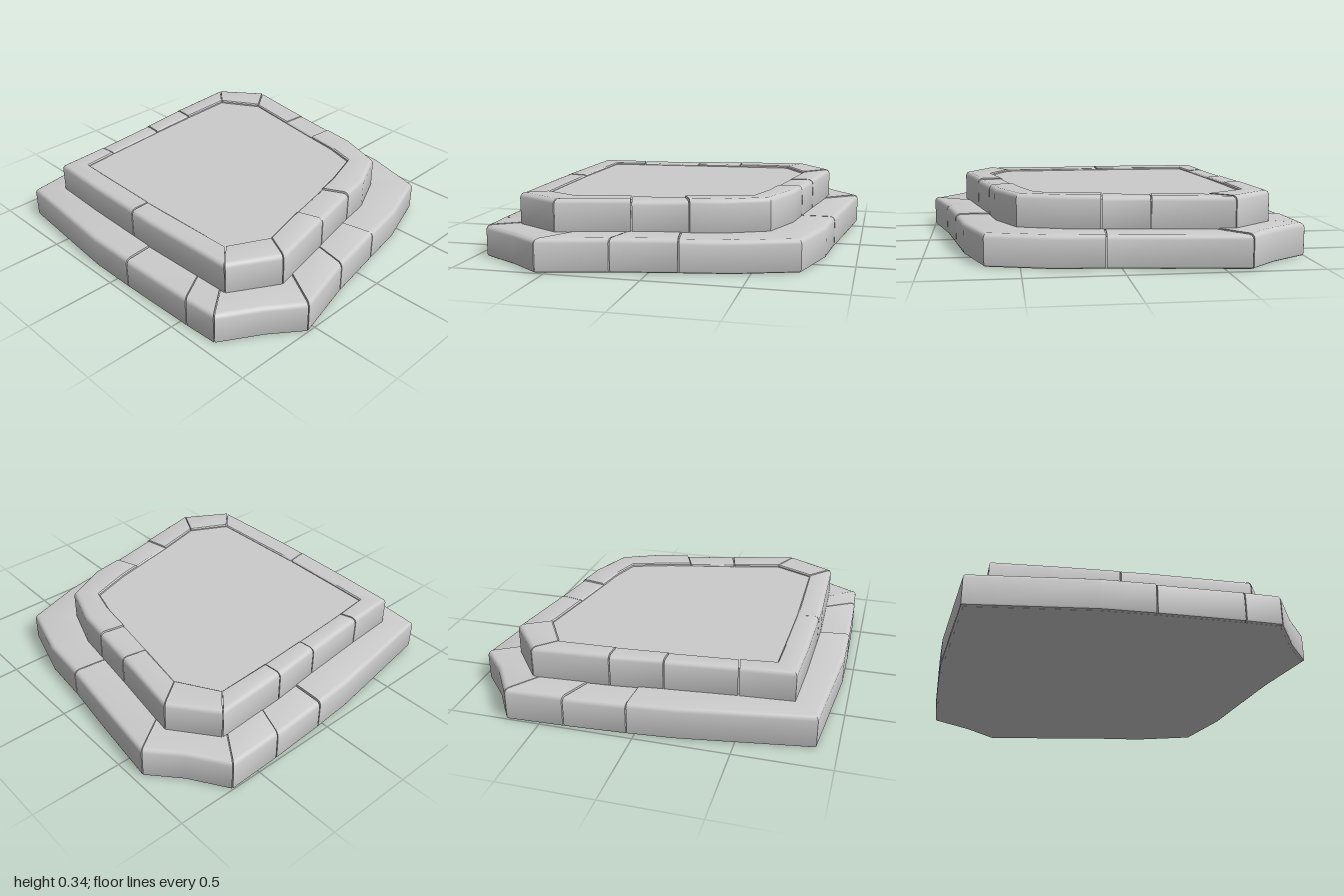
import * as THREE from 'three';
import { toCreasedNormals } from 'three/addons/utils/BufferGeometryUtils.js';

const material = new THREE.MeshStandardMaterial({ color: 0xcccccc });

// Outlines as [x, z, joint]; a 1 marks a joint between two stones
const baseOuter = [
  [-1, -0.68, 1], [-0.8, -0.81], [-0.64, -0.955, 1], [-0.2, -0.9], [0.08, -0.86, 1], [0.35, -0.835],
  [0.68, -0.74], [0.79, -0.42], [0.84, -0.15, 1], [0.905, 0.19, 1], [1, 0.55, 1], [0.87, 0.72],
  [0.74, 0.935, 1], [0.55, 0.945, 1], [0.1, 0.955, 1], [-0.18, 0.955], [-0.84, 0.895],
  [-0.95, 0.2], [-0.97, -0.04, 1], [-0.99, -0.37, 1],
];
const baseInner = baseOuter.map(([x, z]) => [x * 0.72, z * 0.72]);
const rimOuter = [
  [-0.83, -0.595, 1], [-0.6, -0.775, 1], [-0.17, -0.71, 1], [0.08, -0.675, 1], [0.26, -0.65],
  [0.51, -0.56], [0.62, -0.33], [0.65, -0.16, 1], [0.715, 0.13, 1], [0.8, 0.52, 1], [0.65, 0.775, 1],
  [0.1, 0.79], [-0.05, 0.787, 1], [-0.4, 0.78], [-0.72, 0.765], [-0.74, 0.48, 1],
  [-0.775, 0.1, 1], [-0.805, -0.18, 1],
];
const rimInner = [
  [-0.705, -0.49], [-0.49, -0.62], [-0.19, -0.57], [0.06, -0.53], [0.23, -0.505],
  [0.405, -0.455], [0.48, -0.23], [0.51, -0.1], [0.57, 0.17], [0.64, 0.44], [0.53, 0.655],
  [0.1, 0.662], [-0.06, 0.665], [-0.4, 0.658], [-0.62, 0.652], [-0.64, 0.46],
  [-0.67, 0.1], [-0.69, -0.18],
];

// One stone: a rounded section swept along stations [outer, inner]
function stoneGeometry(stations, y0, y1) {
  const profile = [
    [0.01, y0], [0.003, y0 + 0.004], [0, y0 + 0.012], [0, y1 - 0.024], [0.005, y1 - 0.012],
    [0.012, y1 - 0.005], [0.026, y1],
  ];
  const rings = stations.map(([o, n]) => {
    const len = Math.hypot(n[0] - o[0], n[1] - o[1]);
    const at = (d, y) => [o[0] + (n[0] - o[0]) * d / len, y, o[1] + (n[1] - o[1]) * d / len];
    return [...profile.map(([d, y]) => at(d, y)), at(len - 0.008, y1 - 0.005), at(len, y1 - 0.011), at(len, y0)];
  });
  const m = rings[0].length;
  const index = [];
  for (let i = 0; i < rings.length - 1; i++) {
    for (let k = 0; k < m; k++) {
      const a = i * m + k, b = i * m + (k + 1) % m;
      index.push(a, b, a + m, b, b + m, a + m);
    }
  }
  // end caps
  const last = (rings.length - 1) * m;
  for (let k = 1; k < m - 1; k++) {
    index.push(0, k + 1, k, last, last + k, last + k + 1);
  }
  const g = new THREE.BufferGeometry();
  g.setAttribute('position', new THREE.Float32BufferAttribute(rings.flat(2), 3));
  g.setIndex(index);
  return toCreasedNormals(g, 0.56);
}

// Closed course of stones, split at the joints with a hairline gap
function course(name, outer, inner, y0, y1) {
  const group = new THREE.Group();
  group.name = name;
  const n = outer.length;
  const toward = (p, q) => {
    const t = 0.003 / Math.hypot(q[0] - p[0], q[1] - p[1]);
    return [p[0] + (q[0] - p[0]) * t, p[1] + (q[1] - p[1]) * t];
  };
  for (let s = 0; s < n; s++) {
    if (!outer[s][2]) continue;
    const stations = [[outer[s], inner[s]]];
    let e = s;
    do {
      e = (e + 1) % n;
      stations.push([outer[e], inner[e]]);
    } while (!outer[e][2]);
    const k = stations.length - 1;
    const first = [0, 1].map((j) => toward(stations[0][j], stations[1][j]));
    const final = [0, 1].map((j) => toward(stations[k][j], stations[k - 1][j]));
    stations[0] = first;
    stations[k] = final;
    const lift = 0.004 * Math.sin(s * 2.3 + 1);
    const mesh = new THREE.Mesh(stoneGeometry(stations, y0, y1 + lift), material);
    mesh.name = 'stone' + (group.children.length + 1);
    group.add(mesh);
  }
  return group;
}

// Solid slab filling the inside of a course
function slab(name, outline, scale, y0, y1) {
  const shape = new THREE.Shape(outline.map(([x, z]) => new THREE.Vector2(x * scale, -z * scale)));
  const g = new THREE.ExtrudeGeometry(shape, { depth: y1 - y0, bevelEnabled: false });
  g.rotateX(-Math.PI / 2);
  g.translate(0, y0, 0);
  const mesh = new THREE.Mesh(g, material);
  mesh.name = name;
  return mesh;
}

export function createModel() {
  const model = new THREE.Group();
  model.name = 'steppedStonePlatform';
  model.add(
    course('lowerStones', baseOuter, baseInner, 0.005, 0.178),
    slab('lowerCore', baseOuter, 0.985, 0.004, 0.165),
    course('upperStones', rimOuter, rimInner, 0.165, 0.342),
    slab('platformFloor', rimOuter, 0.98, 0.16, 0.325),
  );
  return model;
}
